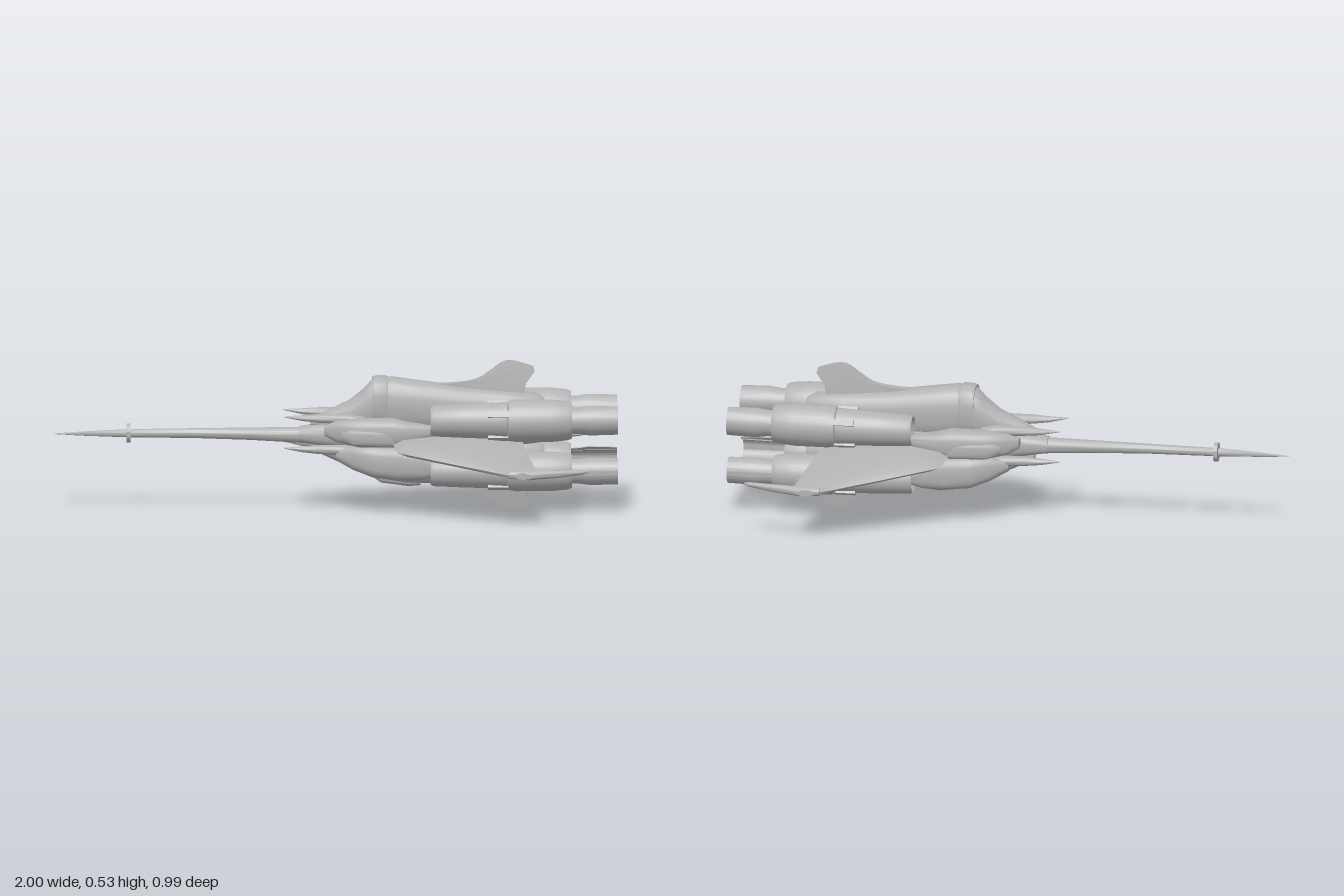
import * as THREE from 'three';
import { toCreasedNormals } from 'three/addons/utils/BufferGeometryUtils.js';

const hullGrey = new THREE.MeshStandardMaterial({ color: 0xb2b2b2, side: THREE.DoubleSide });
hullGrey.name = 'hull grey';

function add(parent, name, geometry) {
  const mesh = new THREE.Mesh(geometry, hullGrey);
  mesh.name = name;
  parent.add(mesh);
  return mesh;
}

// Closed hull along x; each section is [x, bottom y, top y, centre z, half width]
function loft(sections, power = 2.6, sides = 24) {
  const pos = [], idx = [];
  const bend = v => Math.sign(v) * Math.abs(v) ** (2 / power);
  for (const [x, y0, y1, z, w] of sections) {
    for (let i = 0; i < sides; i++) {
      const a = i / sides * Math.PI * 2;
      pos.push(x, (y0 + y1) / 2 + (y1 - y0) / 2 * bend(Math.sin(a)), z + w * bend(Math.cos(a)));
    }
  }
  const n = sections.length;
  for (let s = 0; s < n - 1; s++) {
    for (let i = 0; i < sides; i++) {
      const a = s * sides + i, b = s * sides + (i + 1) % sides;
      idx.push(a, a + sides, b, b, a + sides, b + sides);
    }
  }
  // End caps
  for (const s of [0, n - 1]) {
    const [x, y0, y1, z] = sections[s], c = pos.length / 3;
    pos.push(x, (y0 + y1) / 2, z);
    for (let i = 0; i < sides; i++) {
      const a = s * sides + i, b = s * sides + (i + 1) % sides;
      if (s === 0) idx.push(c, a, b); else idx.push(c, b, a);
    }
  }
  const g = new THREE.BufferGeometry();
  g.setAttribute('position', new THREE.Float32BufferAttribute(pos, 3));
  g.setIndex(idx);
  return toCreasedNormals(g, 0.8);
}

// Turned part along +x; points are [x, radius]
function turned(points, start = 0, length = Math.PI * 2) {
  const g = new THREE.LatheGeometry(points.map(([x, r]) => new THREE.Vector2(r, x)), 28, start, length);
  g.rotateZ(-Math.PI / 2);
  return toCreasedNormals(g, 0.7);
}

// Vertical fin that thins from its root to its tip
function fin(points, rootY, tipY) {
  const shape = new THREE.Shape();
  shape.moveTo(...points[0]);
  shape.splineThru(points.slice(1, 7).map(p => new THREE.Vector2(...p)));
  points.slice(7).forEach(p => shape.lineTo(...p));
  const g = new THREE.ExtrudeGeometry(shape, { depth: 2, bevelEnabled: false, curveSegments: 24 });
  const p = g.attributes.position;
  for (let i = 0; i < p.count; i++) {
    const t = THREE.MathUtils.clamp((p.getY(i) - rootY) / (tipY - rootY), 0, 1);
    p.setZ(i, (p.getZ(i) - 1) * THREE.MathUtils.lerp(0.021, 0.006, t));
  }
  return toCreasedNormals(g, 0.6);
}

// Wing lofted across the span; each section is [z, leading x, trailing x, y, thickness]
function wing(sections) {
  const pos = [], idx = [], k = 8;
  const chord = [[0, 0], [0.08, 0.35], [0.35, 0.5], [0.75, 0.35], [1, 0.06], [0.75, -0.35], [0.35, -0.5], [0.08, -0.35]];
  for (const [z, x0, x1, y, t] of sections) {
    for (const [u, v] of chord) pos.push(x0 + (x1 - x0) * u, y + v * t, z);
  }
  for (let s = 0; s < sections.length - 1; s++) {
    for (let i = 0; i < k; i++) {
      const a = s * k + i, b = s * k + (i + 1) % k;
      idx.push(a, b, a + k, b, b + k, a + k);
    }
  }
  const e = (sections.length - 1) * k;
  for (let i = 1; i < k - 1; i++) idx.push(0, i + 1, i, e, e + i, e + i + 1);
  const g = new THREE.BufferGeometry();
  g.setAttribute('position', new THREE.Float32BufferAttribute(pos, 3));
  g.setIndex(idx);
  return toCreasedNormals(g, 0.7);
}

export function createModel() {
  const ship = new THREE.Group();
  ship.name = 'starfighter';

  // Long nose spear with its collar
  add(ship, 'noseSpear', loft([
    [-1, 0.274, 0.276, 0, 0.001], [-0.9, 0.268, 0.283, 0, 0.007], [-0.74, 0.262, 0.291, 0, 0.013],
    [-0.5, 0.259, 0.294, 0, 0.017], [-0.3, 0.252, 0.296, 0, 0.023], [-0.1, 0.24, 0.298, 0, 0.032],
    [0.05, 0.23, 0.31, 0, 0.04]], 2.2));
  add(ship, 'spearCollar', turned([[-0.007, 0.01], [-0.007, 0.034], [0.007, 0.034], [0.007, 0.01]]))
    .position.set(-0.735, 0.277, 0);

  // Central hull, upper and lower
  add(ship, 'waist', loft([
    [-0.13, 0.245, 0.3, 0, 0.035], [0, 0.225, 0.32, 0, 0.065], [0.12, 0.21, 0.32, 0, 0.095],
    [0.35, 0.21, 0.32, 0, 0.09], [0.6, 0.23, 0.31, 0, 0.075], [0.72, 0.245, 0.3, 0, 0.07]], 3));
  add(ship, 'upperHull', loft([
    [-0.09, 0.3, 0.328, 0, 0.014], [-0.03, 0.285, 0.357, 0, 0.034], [0.05, 0.28, 0.395, 0, 0.052],
    [0.1, 0.28, 0.435, 0, 0.062], [0.135, 0.28, 0.474, 0, 0.069], [0.2, 0.28, 0.478, 0, 0.072],
    [0.3, 0.28, 0.464, 0, 0.07], [0.45, 0.28, 0.442, 0, 0.064], [0.6, 0.285, 0.428, 0, 0.056],
    [0.71, 0.295, 0.42, 0, 0.05], [0.74, 0.315, 0.4, 0, 0.036]]));
  add(ship, 'canopyBand', loft([
    [0.13, 0.29, 0.477, 0, 0.072], [0.14, 0.29, 0.481, 0, 0.075],
    [0.175, 0.29, 0.482, 0, 0.076], [0.185, 0.29, 0.478, 0, 0.072]]));
  add(ship, 'lowerHull', loft([
    [-0.08, 0.215, 0.25, 0, 0.018], [0, 0.178, 0.26, 0, 0.04], [0.08, 0.143, 0.26, 0, 0.055],
    [0.15, 0.112, 0.26, 0, 0.062], [0.25, 0.095, 0.26, 0, 0.064], [0.45, 0.1, 0.26, 0, 0.06],
    [0.6, 0.112, 0.255, 0, 0.054], [0.71, 0.12, 0.25, 0, 0.048], [0.74, 0.14, 0.23, 0, 0.035]]));
  add(ship, 'bellyPack', loft([
    [0.12, 0.13, 0.17, 0, 0.028], [0.16, 0.1, 0.18, 0, 0.038], [0.26, 0.087, 0.18, 0, 0.04],
    [0.3, 0.09, 0.18, 0, 0.034]], 4));

  // Tail fins
  add(ship, 'upperFin', fin([[0.28, 0.45], [0.42, 0.456], [0.5, 0.47], [0.55, 0.501], [0.59, 0.53],
    [0.63, 0.535], [0.7, 0.515], [0.705, 0.495], [0.675, 0.455], [0.665, 0.39], [0.28, 0.39]], 0.42, 0.535));
  add(ship, 'lowerFin', fin([[0.28, 0.1], [0.42, 0.092], [0.5, 0.074], [0.55, 0.043], [0.59, 0.015],
    [0.63, 0.006], [0.68, 0.012], [0.685, 0.04], [0.665, 0.085], [0.66, 0.15], [0.28, 0.15]], 0.12, 0.005));

  for (const side of [1, -1]) {
    const half = new THREE.Group();
    half.name = side > 0 ? 'frontHalf' : 'backHalf';
    half.scale.z = side;
    ship.add(half);

    // Upper and lower engines with hollow nozzles
    for (const upper of [true, false]) {
      const engine = new THREE.Group();
      engine.name = upper ? 'upperEngine' : 'lowerEngine';
      engine.position.set(0, upper ? 0.34 : 0.157, upper ? 0.136 : 0.128);
      engine.scale.set(1, upper ? 1 : 0.93, upper ? 1 : 0.93);
      half.add(engine);
      add(engine, 'intake', turned([[0.37, 0], [0.345, 0.04], [0.335, 0.05], [0.345, 0.056],
        [0.45, 0.061], [0.57, 0.065], [0.605, 0.068], [0.605, 0.05]]));
      add(engine, 'engineBody', turned([[0.6, 0.05], [0.61, 0.071], [0.64, 0.076], [0.76, 0.076],
        [0.82, 0.07], [0.836, 0.064], [0.836, 0.048], [0.8, 0.044], [0.8, 0]]));
      const nozzle = [[0.79, 0.046], [0.86, 0.047], [0.9, 0.053], [1, 0.05], [1, 0.041], [0.88, 0.039], [0.81, 0.036]];
      // The lower nozzles are troughs open at the top
      if (upper) add(engine, 'nozzle', turned(nozzle));
      else add(engine, 'nozzleTrough', turned(nozzle, -0.15, Math.PI + 0.3).rotateX(Math.PI / 2))
        .rotation.x = Math.PI;
      // Clamps along the casing
      for (const a of [0.5, 2.1, 3.7, 5.3]) {
        const clamp = add(engine, 'clamp', new THREE.BoxGeometry(0.075, 0.012, 0.022));
        clamp.position.set(0.575, Math.sin(a) * 0.067, Math.cos(a) * 0.067);
        clamp.rotation.x = Math.PI / 2 - a;
      }
      // Pylon to the hull
      const pylon = add(engine, 'pylon', new THREE.BoxGeometry(0.3, 0.05, 0.07));
      pylon.position.set(0.53, upper ? -0.025 : 0.025, -0.065);
    }

    // Swept wing and its trailing tip blade
    add(half, 'wing', wing([[0.05, 0.18, 0.66, 0.265, 0.055], [0.2, 0.205, 0.665, 0.258, 0.05],
      [0.27, 0.215, 0.675, 0.246, 0.04], [0.38, 0.42, 0.695, 0.22, 0.032],
      [0.465, 0.585, 0.712, 0.2, 0.03], [0.492, 0.635, 0.7, 0.195, 0.024]]));
    add(half, 'wingTipBlade', loft([[0.61, 0.185, 0.212, 0.475, 0.012], [0.68, 0.18, 0.215, 0.476, 0.017],
      [0.78, 0.185, 0.213, 0.459, 0.012], [0.87, 0.194, 0.21, 0.439, 0.009], [0.89, 0.2, 0.206, 0.434, 0.003]], 2.2));

    // Shoulder pods beside the cockpit
    add(half, 'shoulderPod', loft([[-0.04, 0.28, 0.315, 0.085, 0.018], [0, 0.26, 0.335, 0.098, 0.034],
      [0.08, 0.245, 0.345, 0.115, 0.052], [0.2, 0.245, 0.348, 0.125, 0.052],
      [0.25, 0.255, 0.335, 0.125, 0.046], [0.34, 0.28, 0.32, 0.12, 0.028]], 3.2));
    add(half, 'lowerPod', loft([[0, 0.19, 0.225, 0.07, 0.02], [0.06, 0.16, 0.245, 0.09, 0.045],
      [0.13, 0.135, 0.25, 0.108, 0.055], [0.22, 0.125, 0.245, 0.115, 0.052],
      [0.3, 0.125, 0.225, 0.11, 0.045], [0.36, 0.14, 0.2, 0.11, 0.03]], 3.2));
    add(half, 'sideFairing', loft([[0.02, 0.27, 0.3, 0.13, 0.012], [0.06, 0.255, 0.31, 0.147, 0.026],
      [0.2, 0.25, 0.31, 0.15, 0.026], [0.23, 0.265, 0.3, 0.147, 0.02]], 4));

    // Forward spikes
    for (const [name, y, z] of [['upperSpike', 0.34, 0.075], ['lowerSpike', 0.227, 0.07]]) {
      add(half, name, loft([[-0.185, y + 0.006, y + 0.009, z + 0.01, 0.002], [-0.12, y - 0.008, y + 0.012, z + 0.004, 0.013],
        [-0.06, y - 0.015, y + 0.016, z, 0.021], [0.04, y - 0.02, y + 0.016, z, 0.026],
        [0.1, y - 0.02, y + 0.005, z, 0.02]], 2.4));
    }
  }
  return ship;
}
